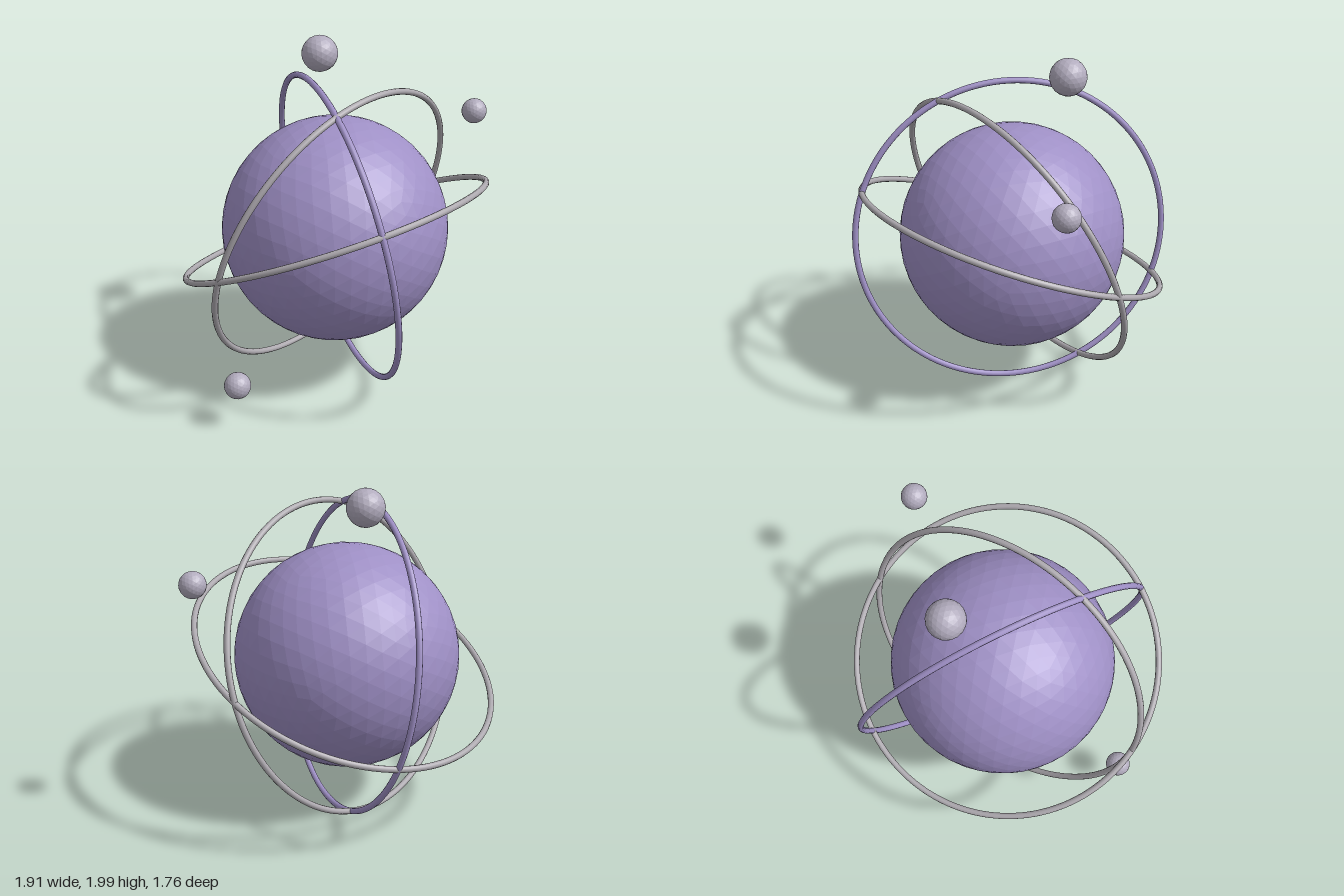
import * as THREE from 'three';

const CENTRE = new THREE.Vector3(-0.022, 0.933, 0);

const material = (name, color) => {
  const m = new THREE.MeshStandardMaterial({ color });
  m.name = name;
  return m;
};

// Faceted ball: the geometry is non-indexed, so recomputed normals are flat
function makeBall(name, radius, detail, position, mat) {
  const geometry = new THREE.IcosahedronGeometry(radius, detail);
  geometry.computeVertexNormals();
  const mesh = new THREE.Mesh(geometry, mat);
  mesh.name = name;
  mesh.position.copy(position);
  return mesh;
}

// Thin hoop around the core, tilted so its axis follows the given normal
function makeRing(name, normal, mat) {
  const mesh = new THREE.Mesh(new THREE.TorusGeometry(0.914, 0.018, 10, 128), mat);
  mesh.name = name;
  mesh.position.copy(CENTRE);
  const axis = new THREE.Vector3(...normal).normalize();
  mesh.quaternion.setFromUnitVectors(new THREE.Vector3(0, 0, 1), axis);
  return mesh;
}

export function createModel() {
  const group = new THREE.Group();
  group.name = 'orbitModel';
  const violet = material('violet', 0x9f90c6);
  const grey = material('warmGrey', 0xaeaab0);
  const paleViolet = material('paleViolet', 0xb2acbe);

  // Core
  group.add(makeBall('core', 0.659, 7, CENTRE, violet));

  // Orbit rings
  group.add(makeRing('uprightRing', [0.14, -0.33, 0.93], grey));
  group.add(makeRing('levelRing', [-0.07, 0.914, -0.4], grey));
  group.add(makeRing('sideRing', [0.93, 0.16, 0.33], violet));

  // Satellites: name, radius, position
  const satellites = [
    ['topSatellite', 0.106, [0.1, 1.894, -0.287]],
    ['leftSatellite', 0.075, [0.88, 1.513, 0.213]],
    ['rightSatellite', 0.075, [-0.865, 0.28, 0.18]],
  ];
  for (const [name, radius, p] of satellites) {
    group.add(makeBall(name, radius, 3, new THREE.Vector3(...p), paleViolet));
  }
  return group;
}
